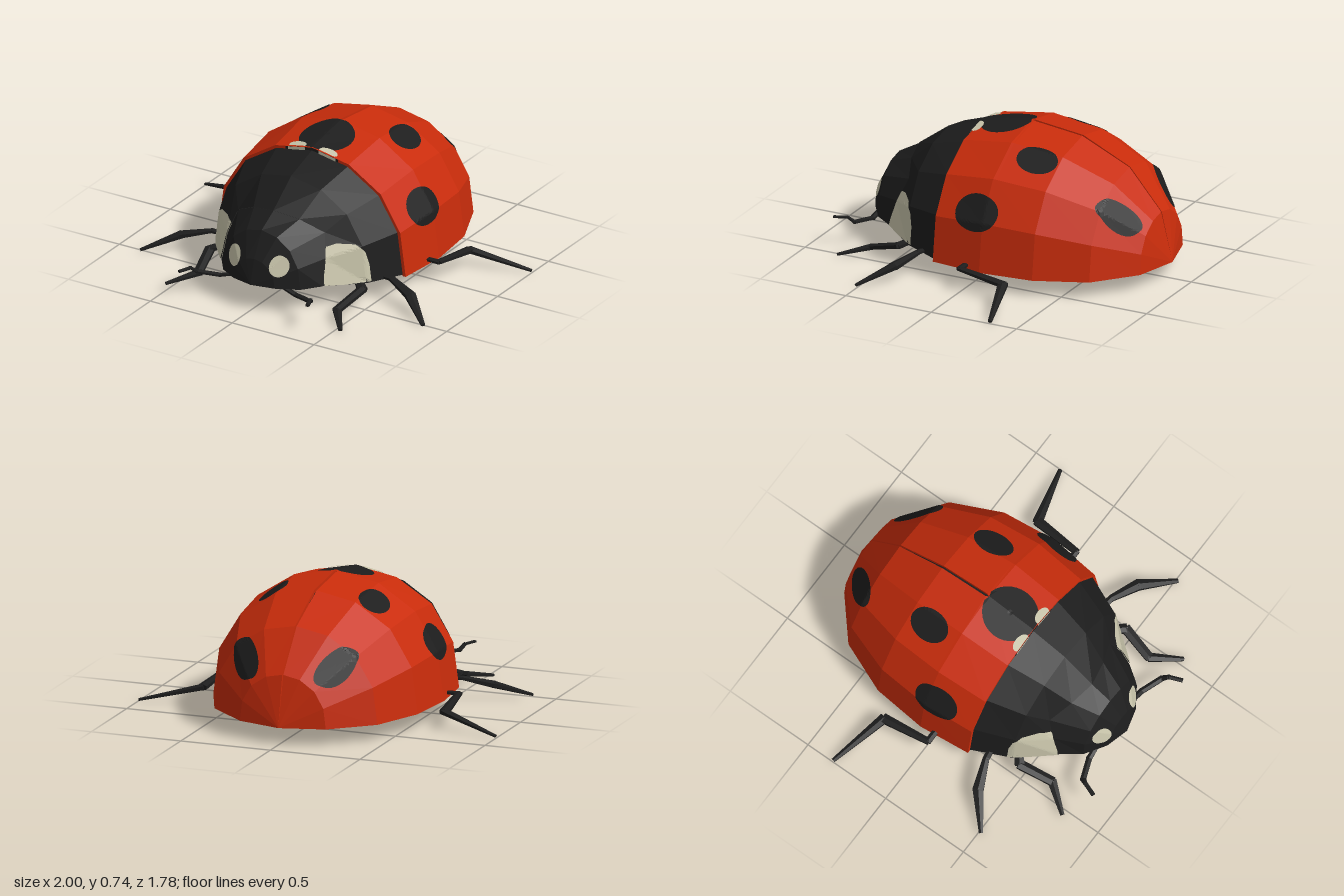
import * as THREE from 'three';

const V = (x, y, z) => new THREE.Vector3(x, y, z);
const mat = (name, color) => new THREE.MeshStandardMaterial({ name, color, flatShading: true, side: THREE.DoubleSide });

// Surface through rows of points (rows run front to back, points from +x over the top to -x)
function loft(rows) {
  const n = rows[0].length, index = [];
  for (let i = 0; i < rows.length - 1; i++)
    for (let j = 0; j < n - 1; j++) {
      const a = i * n + j, b = a + n;
      index.push(a, b, a + 1, b, b + 1, a + 1);
    }
  const indexed = new THREE.BufferGeometry().setFromPoints(rows.flat());
  indexed.setIndex(index);
  const geo = indexed.toNonIndexed();
  geo.computeVertexNormals();
  return geo;
}

// Mirror a left-hand list of [x, y, z] (side to top) into a full arch
const mirrorArch = half => [
  ...half.map(p => V(...p)),
  ...half.slice(0, -1).reverse().map(([x, y, z]) => V(-x, y, z)),
];

// Slightly squared half-round cross-section
const ROUND = [[1, 0], [0.942, 0.405], [0.733, 0.725], [0.392, 0.93], [0, 1]];
const arch = (z, w, base, top) => mirrorArch(ROUND.map(([c, s]) => [w * c, base + (top - base) * s, z]));

// Thin patch laid on a faceted target: outline [a, b] along axes u and v, cast along dir
function decal(target, origin, dir, u, v, outline, lift = 0.0035) {
  const ray = new THREE.Raycaster(), rows = [], steps = 10;
  const land = (a, b) => {
    for (let s = 1; s >= 0; s -= 0.02) {
      ray.set(origin.clone().addScaledVector(u, a * s).addScaledVector(v, b * s), dir);
      const hit = ray.intersectObject(target)[0];
      if (hit && hit.face.normal.dot(dir) < 0) return hit.point.addScaledVector(hit.face.normal, lift);
    }
    return origin.clone();
  };
  for (let k = 1; k <= steps; k++)
    rows.push([...outline, outline[0]].map(([a, b]) => land(a * k / steps, b * k / steps)));
  // Close the middle with the average of the innermost ring
  const mid = rows[0].slice(1).reduce((sum, p) => sum.add(p), V(0, 0, 0)).divideScalar(outline.length);
  return loft([rows[0].map(() => mid), ...rows]);
}

const ellipse = (ra, rb, turn = 0) => Array.from({ length: 32 }, (_, i) => {
  const t = i * Math.PI / 16, a = ra * Math.cos(t), b = rb * Math.sin(t);
  return [a * Math.cos(turn) - b * Math.sin(turn), a * Math.sin(turn) + b * Math.cos(turn)];
});

// Resample a closed polygon so a patch can bend over creases
const densify = (pts, n = 5) => pts.flatMap(([a, b], i) => {
  const [c, d] = pts[(i + 1) % pts.length];
  return Array.from({ length: n }, (_, k) => [a + (c - a) * k / n, b + (d - b) * k / n]);
});

export function createModel() {
  const model = new THREE.Group();
  model.name = 'ladybird';
  const red = mat('shell red', 0xc92c0b);
  const black = mat('body black', 0x1d1d1d);
  const cream = mat('marking cream', 0xcac6ac);
  const add = (name, geo, material, parent = model) => {
    const mesh = new THREE.Mesh(geo, material);
    mesh.name = name;
    parent.add(mesh);
    return mesh;
  };

  // Wing case: open dome in two halves, parted by a narrow slit with a dark floor
  const shellRows = [
    arch(0.215, 0.572, 0.1, 0.7), arch(-0.07, 0.6, 0.1, 0.745), arch(-0.085, 0.5985, 0.1, 0.743),
    arch(-0.365, 0.57, 0.1, 0.71), arch(-0.64, 0.455, 0.1, 0.585), arch(-0.825, 0.24, 0.1, 0.37), arch(-0.89, 0, 0.1, 0.1),
  ];
  const slit = [0, 0, 0.008, 0.007, 0.004, 0.003, 0];
  const slitEdge = (i, s) => V(s * slit[i], shellRows[i][4].y, shellRows[i][4].z);
  const slitFloor = (i, s) => V(s * slit[i], 0.1 + (shellRows[i][4].y - 0.1) * 0.97, shellRows[i][4].z * 0.98);
  const shell = new THREE.Group();
  shell.name = 'wingCase';
  model.add(shell);
  add('leftWing', loft(shellRows.map((r, i) => [...r.slice(0, 4), slitEdge(i, 1), slitFloor(i, 1)])), red, shell);
  add('rightWing', loft(shellRows.map((r, i) => [slitFloor(i, -1), slitEdge(i, -1), ...r.slice(5)])), red, shell);
  add('wingSeam', loft(shellRows.map((_, i) => [slitFloor(i, 1), slitFloor(i, -1)])), black);

  // Front lip of the wing case
  add('wingCaseLip', loft([shellRows[0].map(p => V(p.x * 0.965, 0.1 + (p.y - 0.1) * 0.965, p.z)), shellRows[0]]), red);
  const lipPatch = (xs, z) => loft([0.022, 0].map(drop => xs.map(x => V(x, 0.7 - 0.1875 * Math.abs(x) - drop, z))));
  add('centreSpotLip', lipPatch([0.16, 0, -0.16], 0.2165), black);

  // Thorax and head shells
  const collar = [[0.31, 0.14, 0.61], [0.3, 0.28, 0.565], [0.265, 0.4, 0.515], [0.14, 0.465, 0.565], [0, 0.492, 0.595]];
  const thorax = add('thorax', loft([
    mirrorArch(collar), arch(0.42, 0.463, 0.12, 0.62), arch(0.21, 0.556, 0.108, 0.686),
  ]), black);
  const head = add('head', loft([
    arch(0.82, 0, 0.155, 0.155), arch(0.785, 0.125, 0.15, 0.29), arch(0.71, 0.235, 0.14, 0.425),
    mirrorArch(collar.map(([x, y, z]) => [x * 0.995, y - 0.002, z - 0.002])),
  ]), black);

  // Flat belly, set just inside the shells
  const bellyRows = [
    [0.78, 0.11, 0.165], [0.7, 0.225, 0.16], [0.58, 0.3, 0.16], [0.42, 0.445, 0.145], [0.21, 0.55, 0.12],
    [-0.07, 0.588, 0.115], [-0.36, 0.557, 0.115], [-0.63, 0.438, 0.115], [-0.79, 0.245, 0.115],
  ];
  add('belly', loft(bellyRows.map(([z, w, y]) => [V(-w, y, z), V(w, y, z)])), black);
  model.updateMatrixWorld(true);

  // Markings
  const X = V(1, 0, 0), Y = V(0, 1, 0), Z = V(0, 0, 1), down = V(0, -1, 0);
  const upToEdge = (pts, z0) => pts.map(([a, b]) => [a, Math.min(b, 0.2145 - z0)]);
  add('centreSpot', decal(shell, V(0.0003, 2, 0.068), down, X, Z, upToEdge(ellipse(0.145, 0.148), 0.068)), black);
  const cheek = densify([[0.61, 0.135], [0.575, 0.3], [0.55, 0.33], [0.5, 0.345], [0.44, 0.335], [0.41, 0.29], [0.395, 0.22], [0.395, 0.125]]
    .map(([z, y]) => [z - 0.49, y - 0.22]));
  for (const s of [1, -1]) {
    const side = s > 0 ? 'left' : 'right';
    const U = V(s, 0, 0), inward = V(-s, 0, 0);
    add(side + 'TopSpot', decal(shell, V(s * 0.28, 2, -0.245), down, U, Z, ellipse(0.072, 0.113, -0.08)), black);
    add(side + 'RearSpot', decal(shell, V(s * 0.25, 2, -0.705), down, U, Z, ellipse(0.128, 0.044, 0.8)), black);
    add(side + 'SideSpot', decal(shell, V(s * 2, 0.4, -0.02), inward, Z, Y, ellipse(0.125, 0.09, -0.05)), black);
    add(side + 'CollarMark', decal(shell, V(s * 0.092, 2, 0.203), down, U, Z,
      upToEdge(ellipse(0.052, 0.03, -0.1), 0.203), 0.007), cream);
    add(side + 'CollarMarkLip', lipPatch([s * 0.145, s * 0.04], 0.218), cream);
    add(side + 'Cheek', decal(thorax, V(s * 2, 0.22, 0.49), inward, Z, Y, cheek), cream);
    add(side + 'CheekInside', decal(thorax, V(s * 2, 0.22, 0.49), inward, Z, Y, cheek, -0.0035), cream);
    add(side + 'Eye', decal(head, V(s * 0.135, 0.268, 2), V(0, 0, -1), U, Y, ellipse(0.047, 0.055, 0.2)), cream);
  }

  // Legs and antennae: jointed, flattened, tapering limbs, points [x, y, z, radius]
  const limbs = {
    FrontLeg: [[0.41, 0.125, 0.42, 0.02], [0.465, 0.105, 0.47, 0.024], [0.425, 0.05, 0.65, 0.022], [0.53, 0.02, 0.79, 0.01]],
    MiddleLeg: [[0.46, 0.12, 0.3, 0.016], [0.55, 0.125, 0.315, 0.016], [0.7, 0.09, 0.375, 0.027], [0.86, 0.018, 0.51, 0.01]],
    RearLeg: [[0.55, 0.125, 0.015, 0.014], [0.65, 0.125, 0.015, 0.016], [0.675, 0.095, -0.25, 0.024], [0.99, 0.02, -0.34, 0.01]],
    Antenna: [[0.16, 0.145, 0.74, 0.012], [0.23, 0.125, 0.745, 0.014], [0.345, 0.135, 0.79, 0.014], [0.365, 0.162, 0.82, 0.01], [0.39, 0.162, 0.885, 0.01]],
  };
  for (const [name, pts] of Object.entries(limbs))
    for (const s of [1, -1]) {
      const limb = new THREE.Group();
      limb.name = (s > 0 ? 'left' : 'right') + name;
      model.add(limb);
      for (let i = 0; i < pts.length - 1; i++) {
        const [p, q] = [pts[i], pts[i + 1]];
        const a = V(s * p[0], p[1], p[2]), b = V(s * q[0], q[1], q[2]);
        const d = b.clone().sub(a), length = d.length();
        const across = d.normalize().clone().cross(Y).normalize();
        const part = add('segment', new THREE.CylinderGeometry(q[3], p[3], length + 0.012, 6), black, limb);
        part.position.copy(a).add(b).multiplyScalar(0.5);
        part.quaternion.setFromRotationMatrix(
          new THREE.Matrix4().makeBasis(across, d, across.clone().cross(d)));
        part.scale.set(1.25, 1, 0.75);
      }
    }
  return model;
}
